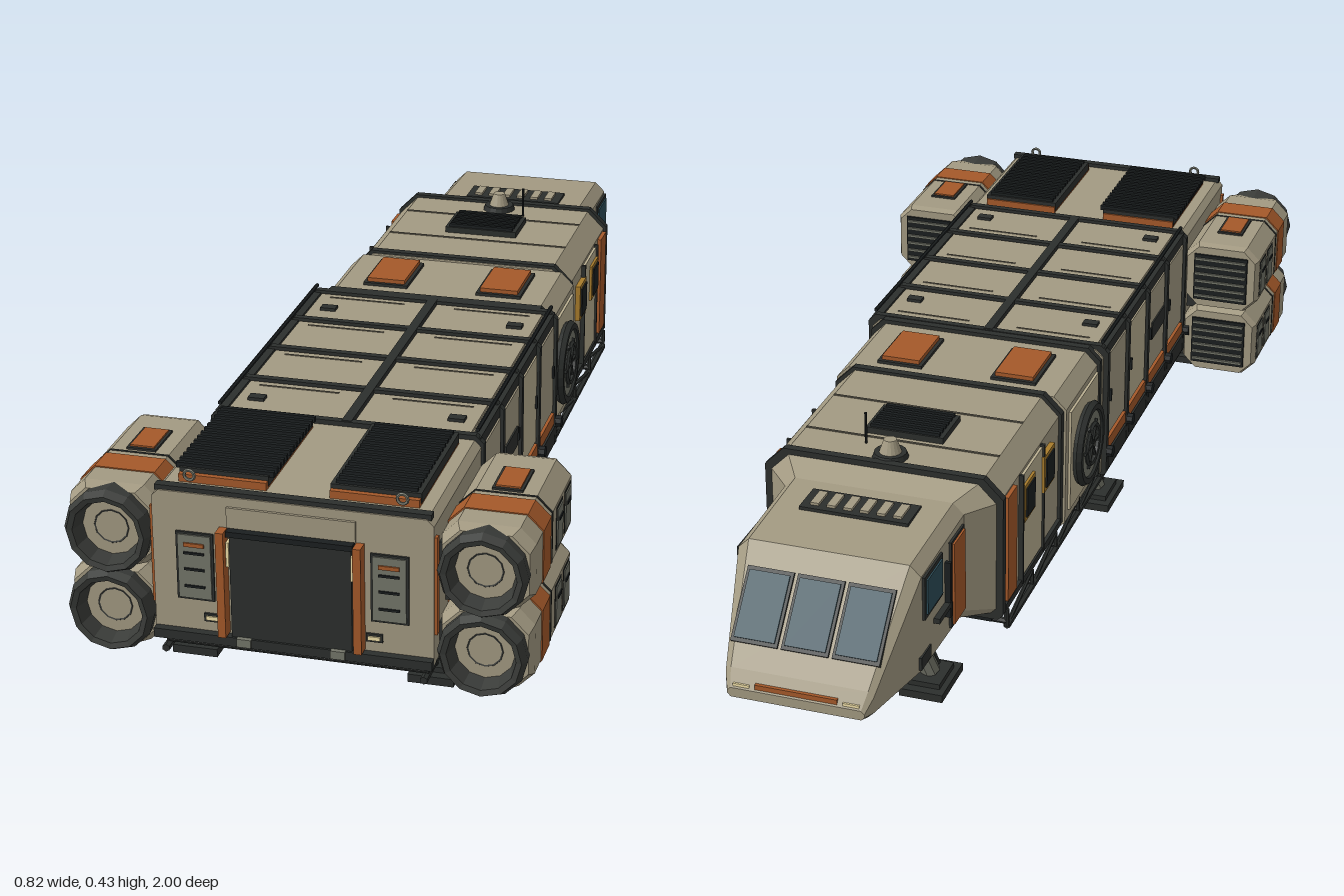
import * as THREE from 'three';

const mat = (color, side = THREE.FrontSide) => new THREE.MeshStandardMaterial({ color, side, flatShading: true });
const M = {
  hull: mat(0xa39a82), pale: mat(0xbbb092), dark: mat(0x2c2f2d), black: mat(0x1b1f20), orange: mat(0xa5592a),
  glass: mat(0x2d4d58), gold: mat(0xa87c2c), grey: mat(0x74766a), seam: mat(0x6f6a5b), lamp: mat(0xf0dfa8),
  nozzle: mat(0x393b38, THREE.DoubleSide),
};

export function createModel() {
  const root = new THREE.Group();
  root.name = 'modularTransport';
  const add = (name, geo, m, x = 0, y = 0, z = 0) => {
    const mesh = new THREE.Mesh(geo, M[m]);
    mesh.name = name;
    mesh.position.set(x, y, z);
    root.add(mesh);
    return mesh;
  };
  // box given by its ranges on each axis
  const box = (name, m, x0, x1, y0, y1, z0, z1) => add(name, new THREE.BoxGeometry(Math.abs(x1 - x0), y1 - y0, z1 - z0),
    m, (x0 + x1) / 2, (y0 + y1) / 2, (z0 + z1) / 2);
  const both = (fn) => [1, -1].forEach(fn);
  // plate on both side walls, standing off from x = w by t
  const side = (name, m, w, t, y0, y1, z0, z1) => both((s) => box(name, m, s * (w - 0.004), s * (w + t), y0, y1, z0, z1));
  const rod = (name, m, a, b, r, n = 6) => {
    const p = new THREE.Vector3(...a), q = new THREE.Vector3(...b), d = q.clone().sub(p);
    const mesh = add(name, new THREE.CylinderGeometry(r, r, d.length(), n), m);
    mesh.position.copy(p).add(q).multiplyScalar(0.5);
    mesh.quaternion.setFromUnitVectors(new THREE.Vector3(0, 1, 0), d.normalize());
    return mesh;
  };
  // chamfered hull lofted through stations [z, half width, y0, y1, top chamfer, bottom chamfer], z increasing
  const loft = (name, m, stations, cx = 0) => {
    const pos = [], idx = [], n = 8;
    stations.forEach(([z, w, y0, y1, t, b]) => [
      [w, y0 + b], [w, y1 - t], [w - t, y1], [t - w, y1], [-w, y1 - t], [-w, y0 + b], [b - w, y0], [w - b, y0],
    ].forEach(([x, y]) => pos.push(x + cx, y, z)));
    for (let k = 0; k < stations.length - 1; k++) for (let i = 0; i < n; i++) {
      const a = k * n + i, b = k * n + (i + 1) % n;
      idx.push(a, b, b + n, a, b + n, a + n);
    }
    const e = (stations.length - 1) * n;
    for (let i = 1; i < n - 1; i++) idx.push(0, i + 1, i, e, e + i, e + i + 1);
    const g = new THREE.BufferGeometry();
    g.setAttribute('position', new THREE.Float32BufferAttribute(pos, 3));
    g.setIndex(idx);
    const flat = g.toNonIndexed();
    flat.computeVertexNormals();
    return add(name, flat, m);
  };
  const prism = (name, m, w, y0, y1, z0, z1, t, b, cx = 0) => loft(name, m, [[z0, w, y0, y1, t, b], [z1, w, y0, y1, t, b]], cx);
  // slatted roof vent
  const vent = (name, base, slat, x0, x1, y, z0, z1, n) => {
    box(name, base, x0, x1, y - 0.01, y + 0.008, z0, z1);
    for (let i = 0; i < n; i++) {
      const z = z0 + (z1 - z0) * (i + 0.5) / n;
      box(name + 'Slat', slat, x0 + 0.008, x1 - 0.008, y + 0.004, y + 0.014, z - 0.004, z + 0.004);
    }
  };

  // main hull modules
  prism('engineBlock', 'hull', 0.245, 0.09, 0.362, 0.645, 0.975, 0.012, 0.005);
  prism('cargoBody', 'hull', 0.24, 0.09, 0.362, 0.03, 0.645, 0.015, 0.005);
  prism('airlockModule', 'hull', 0.232, 0.085, 0.362, -0.19, 0.03, 0.025, 0.01);
  prism('habitatModule', 'hull', 0.222, 0.09, 0.366, -0.56, -0.19, 0.035, 0.01);
  loft('cockpitHull', 'hull', [
    [-1, 0.125, 0.122, 0.14, 0.006, 0.006], [-0.98, 0.135, 0.118, 0.168, 0.01, 0.01],
    [-0.83, 0.168, 0.11, 0.335, 0.02, 0.02], [-0.61, 0.17, 0.105, 0.342, 0.02, 0.02], [-0.56, 0.218, 0.1, 0.362, 0.035, 0.01],
  ]);
  for (const z of [-0.555, -0.2]) prism('habitatFrame', 'dark', 0.228, 0.088, 0.372, z - 0.008, z + 0.008, 0.037, 0.01);
  prism('airlockFrame', 'dark', 0.238, 0.085, 0.37, 0.018, 0.034, 0.025, 0.01);

  // cargo bays: frames, spine, wall panels
  for (let i = 0; i < 5; i++) {
    const z = 0.042 + i * 0.15;
    prism('cargoFrame', 'dark', 0.25, 0.088, 0.371, z - 0.007, z + 0.007, 0.015, 0.005);
    both((s) => rod('frameLatch', 'black', [s * 0.25, 0.14, z], [s * 0.262, 0.14, z], 0.012, 8));
    if (i === 4) break;
    side('bayPanel', i === 2 ? 'hull' : i === 1 ? 'pale' : 'hull', 0.24, 0.006, 0.168, 0.345, z + 0.015, z + 0.135);
    side('bayStripe', 'orange', 0.24, 0.008, 0.136, 0.16, z + 0.01, z + 0.14);
    side('baySill', 'dark', 0.24, 0.01, 0.095, 0.132, z + 0.01, z + 0.14);
    side('panelHandle', 'black', 0.245, 0.005, 0.24, 0.265, z + 0.02, z + 0.026);
    both((s) => {
      box('roofPanel', 'hull', s * 0.012, s * 0.222, 0.355, 0.367, z + 0.013, z + 0.137);
      box('roofSeam', 'seam', s * 0.05, s * 0.2, 0.36, 0.3685, z + 0.028, z + 0.031);
      if (i % 3 === 0) box('roofLatch', 'dark', s * 0.17, s * 0.2, 0.36, 0.373, z + 0.08, z + 0.1);
    });
  }
  side('bayNameplate', 'dark', 0.244, 0.005, 0.235, 0.272, 0.375, 0.47);
  box('roofSpine', 'dark', -0.009, 0.009, 0.355, 0.372, 0.04, 0.645);
  both((s) => {
    box('roofEdge', 'dark', s * 0.226, s * 0.243, 0.345, 0.366, 0.035, 0.645);
    rod('roofRail', 'black', [s * 0.236, 0.378, 0.04], [s * 0.236, 0.378, 0.64], 0.004);
  });

  // airlock: round side hatches and roof hatches
  side('airlockPanel', 'pale', 0.232, 0.005, 0.115, 0.325, -0.172, 0.012);
  both((s) => {
    rod('hatchDisc', 'grey', [s * 0.23, 0.215, -0.078], [s * 0.25, 0.215, -0.078], 0.07, 24);
    add('hatchRing', new THREE.TorusGeometry(0.074, 0.011, 6, 28), 'dark', s * 0.245, 0.215, -0.078).rotation.y = Math.PI / 2;
    add('hatchWheel', new THREE.TorusGeometry(0.04, 0.005, 5, 20), 'dark', s * 0.253, 0.215, -0.078).rotation.y = Math.PI / 2;
    for (let k = 0; k < 3; k++) {
      const c = 0.05 * Math.cos(k * Math.PI / 3), d = 0.05 * Math.sin(k * Math.PI / 3);
      rod('hatchSpoke', 'dark', [s * 0.252, 0.215 - d, -0.078 - c], [s * 0.252, 0.215 + d, -0.078 + c], 0.004);
    }
    box('roofHatchRim', 'dark', s * 0.07, s * 0.16, 0.355, 0.368, -0.157, -0.023);
    box('roofHatch', 'orange', s * 0.077, s * 0.153, 0.355, 0.376, -0.15, -0.03);
  });

  // habitat: windows, doors and roof gear
  side('habitatDoor', 'pale', 0.222, 0.005, 0.115, 0.325, -0.445, -0.325);
  for (const z of [-0.295, -0.415]) {
    side('windowFrame', 'gold', 0.224, 0.008, 0.23, 0.305, z - 0.032, z + 0.032);
    side('habitatWindow', 'black', 0.224, 0.011, 0.238, 0.297, z - 0.024, z + 0.024);
  }
  for (const z of [-0.322, -0.45]) side('wallSeam', 'dark', 0.222, 0.009, 0.105, 0.33, z - 0.003, z + 0.003);
  side('habitatStripe', 'orange', 0.222, 0.008, 0.115, 0.328, -0.538, -0.486);
  side('habitatSill', 'dark', 0.222, 0.007, 0.098, 0.112, -0.545, -0.205);
  for (const z of [-0.32, -0.46]) box('roofSeam', 'seam', -0.187, 0.187, 0.36, 0.368, z - 0.002, z + 0.002);
  vent('habitatVent', 'dark', 'black', -0.075, 0.075, 0.37, -0.447, -0.35, 6);
  add('sensorBase', new THREE.CylinderGeometry(0.03, 0.034, 0.012, 16), 'dark', 0, 0.37, -0.52);
  add('sensorDome', new THREE.CylinderGeometry(0.012, 0.021, 0.026, 16), 'hull', 0, 0.388, -0.52);
  rod('antenna', 'black', [0.06, 0.36, -0.485], [0.06, 0.428, -0.485], 0.0025);

  // cockpit: windscreen on the slope, side windows and doors, nose lights
  const slope = new THREE.Group();
  slope.name = 'windscreen';
  slope.position.set(0, 0.25, -0.905);
  slope.rotation.x = -Math.atan2(0.167, 0.15);
  root.add(slope);
  for (const x of [-0.093, 0, 0.093]) {
    const frame = add('windscreenFrame', new THREE.BoxGeometry(0.086, 0.012, 0.134), 'dark', x);
    const pane = add('windscreenPane', new THREE.BoxGeometry(0.075, 0.018, 0.12), 'glass', x);
    slope.add(frame, pane);
  }
  side('cockpitDoorFrame', 'dark', 0.169, 0.005, 0.135, 0.308, -0.69, -0.618);
  side('cockpitDoor', 'orange', 0.169, 0.009, 0.14, 0.303, -0.684, -0.624);
  side('sideWindowFrame', 'dark', 0.167, 0.006, 0.228, 0.312, -0.826, -0.732);
  side('sideWindow', 'glass', 0.167, 0.009, 0.236, 0.304, -0.818, -0.74);
  side('sideVent', 'dark', 0.165, 0.006, 0.135, 0.16, -0.84, -0.79);
  side('sideStep', 'dark', 0.168, 0.012, 0.19, 0.2, -0.77, -0.71);
  side('grabRail', 'black', 0.168, 0.012, 0.17, 0.28, -0.712, -0.704);
  box('cockpitVent', 'dark', -0.102, 0.102, 0.33, 0.345, -0.712, -0.642);
  for (let i = 0; i < 6; i++) box('cockpitVentSlat', 'hull', i * 0.031 - 0.086, i * 0.031 - 0.07, 0.33, 0.35, -0.7, -0.654);
  box('nosePlate', 'orange', -0.075, 0.075, 0.128, 0.152, -0.998, -0.97);
  both((s) => box('headlight', 'lamp', s * 0.085, s * 0.115, 0.132, 0.148, -0.998, -0.97));

  // engine roof grilles
  both((s) => {
    box('grilleTray', 'orange', s * 0.055, s * 0.21, 0.355, 0.376, 0.668, 0.935);
    vent('engineGrille', 'dark', 'black', s * 0.054, s * 0.211, 0.376, 0.672, 0.925, 14);
    add('liftRing', new THREE.TorusGeometry(0.009, 0.003, 5, 12), 'grey', s * 0.185, 0.383, 0.95);
  });
  box('roofLip', 'dark', -0.24, 0.24, 0.36, 0.37, 0.955, 0.972);

  // cargo door face
  box('cargoDoor', 'dark', -0.106, 0.106, 0.105, 0.305, 0.96, 0.986);
  box('doorHeader', 'black', -0.11, 0.11, 0.297, 0.307, 0.965, 0.993);
  box('doorSill', 'dark', -0.245, 0.245, 0.09, 0.107, 0.96, 0.99);
  box('headerPanel', 'hull', -0.112, 0.112, 0.308, 0.345, 0.96, 0.98);
  both((s) => {
    box('doorStripe', 'orange', s * 0.112, s * 0.126, 0.11, 0.306, 0.96, 1);
    box('doorLamp', 'lamp', s * 0.106, s * 0.111, 0.24, 0.285, 0.97, 0.99);
    box('doorHinge', 'grey', s * 0.07, s * 0.095, 0.093, 0.108, 0.97, 0.995);
    box('accessFrame', 'dark', s * 0.137, s * 0.203, 0.165, 0.291, 0.96, 0.979);
    box('accessPanel', 'grey', s * 0.141, s * 0.199, 0.169, 0.287, 0.96, 0.982);
    box('accessStripe', 'orange', s * 0.152, s * 0.188, 0.266, 0.273, 0.96, 0.985);
    for (const y of [0.19, 0.222, 0.252]) box('accessSlot', 'black', s * 0.152, s * 0.188, y, y + 0.004, 0.96, 0.985);
    box('markerRim', 'dark', s * 0.128, s * 0.157, 0.126, 0.141, 0.96, 0.979);
    box('markerLamp', 'lamp', s * 0.132, s * 0.153, 0.13, 0.137, 0.96, 0.982);
  });

  // four engine pods
  const bell = [[0.07, -0.03], [0.076, 0.01], [0.078, 0.03], [0.07, 0.045], [0.06, 0.042], [0.052, 0.01], [0.03, 0], [0, 0]]
    .map(([r, y]) => new THREE.Vector2(r, y));
  both((s) => {
    const cx = s * 0.327;
    for (const y of [0.272, 0.123]) {
      const a = y - 0.073, b = y + 0.073;
      loft('enginePod', 'hull', [[0.64, 0.074, a + 0.005, b - 0.005, 0.025, 0.025], [0.655, 0.08, a, b, 0.027, 0.027],
        [0.93, 0.08, a, b, 0.027, 0.027], [0.953, 0.074, a + 0.006, b - 0.006, 0.03, 0.03]], cx);
      prism('podBand', 'orange', 0.082, a - 0.002, b + 0.002, 0.825, 0.882, 0.0275, 0.0275, cx);
      prism('podSeam', 'dark', 0.081, a - 0.001, b + 0.001, 0.806, 0.811, 0.027, 0.027, cx);
      add('nozzle', new THREE.LatheGeometry(bell, 12), 'nozzle', cx, y, 0.942).rotation.x = Math.PI / 2;
      rod('nozzleCore', 'black', [cx, y, 0.93], [cx, y, 0.948], 0.05, 12);
      add('nozzleRing', new THREE.TorusGeometry(0.03, 0.004, 5, 12), 'nozzle', cx, y, 0.95);
      box('intake', 'black', cx - 0.058, cx + 0.058, y - 0.052, y + 0.052, 0.635, 0.65);
      for (let i = 0; i < 6; i++) box('intakeSlat', 'grey', cx - 0.055, cx + 0.055, y - 0.045 + i * 0.017, y - 0.04 + i * 0.017, 0.63, 0.645);
      for (const z of [0.69, 0.755]) {
        box('podPanelRim', 'dark', cx, cx + s * 0.081, y - 0.04, y + 0.04, z - 0.027, z + 0.022);
        box('podPanel', 'grey', cx, cx + s * 0.083, y - 0.036, y + 0.036, z - 0.023, z + 0.018);
        box('podSlot', 'black', cx, cx + s * 0.085, y + 0.012, y + 0.018, z - 0.016, z + 0.011);
      }
      for (const z of [0.67, 0.92]) box('podMount', 'dark', s * 0.24, s * 0.262, y - 0.035, y + 0.035, z - 0.02, z + 0.02);
    }
    box('podHatchRim', 'dark', cx - 0.027, cx + 0.027, 0.34, 0.349, 0.712, 0.8);
    box('podHatch', 'orange', cx - 0.022, cx + 0.022, 0.34, 0.352, 0.718, 0.794);
    box('podSpacer', 'dark', s * 0.24, s * 0.37, 0.18, 0.215, 0.68, 0.9);
    box('podStripe', 'orange', s * 0.24, s * 0.25, 0.15, 0.33, 0.96, 0.972);
  });

  // underside: belly pan, rails, truss and tanks
  box('bellyRear', 'black', -0.225, 0.225, 0.08, 0.095, 0.03, 0.97);
  box('bellyMiddle', 'seam', -0.2, 0.2, 0.08, 0.095, -0.19, 0.03);
  box('bellyFore', 'black', -0.205, 0.205, 0.08, 0.095, -0.56, -0.19);
  for (let i = 0; i < 11; i++) {
    const z = -0.54 + i * 0.15;
    rod('crossBeam', 'dark', [-0.228, 0.075, z], [0.228, 0.075, z], 0.006);
    both((s) => {
      rod('railPost', 'dark', [s * 0.228, 0.065, z], [s * 0.228, 0.1, z], 0.005);
      if (i < 10) rod('trussBrace', 'dark', [s * 0.228, 0.065, z], [s * 0.228, 0.097, z + 0.15], 0.004);
    });
  }
  both((s) => {
    rod('lowerRail', 'dark', [s * 0.228, 0.065, -0.54], [s * 0.228, 0.065, 0.98], 0.007);
    for (const [z0, z1] of [[-0.08, 0.06], [0.22, 0.4], [0.44, 0.62]]) {
      rod('tank', 'gold', [s * 0.155, 0.073, z0], [s * 0.155, 0.073, z1], 0.018, 12);
      for (const z of [z0 + 0.03, z1 - 0.03]) rod('tankStrap', 'dark', [s * 0.155, 0.073, z - 0.006], [s * 0.155, 0.073, z + 0.006], 0.02, 12);
    }
    rod('bellyPipe', 'grey', [s * 0.1, 0.076, -0.5], [s * 0.1, 0.076, 0.95], 0.006);
  });

  // landing legs
  for (const [x, z] of [[0.213, 0.82], [0.213, 0.1], [0.127, -0.67]]) both((s) => {
    rod('legSocket', 'dark', [s * (x - 0.03), 0.075, z - 0.02], [s * (x - 0.03), 0.115, z - 0.02], 0.026, 8);
    rod('legStrut', 'grey', [s * x, 0.025, z], [s * (x - 0.025), 0.1, z - 0.015], 0.018, 8);
    rod('legPiston', 'dark', [s * x, 0.022, z + 0.03], [s * (x - 0.02), 0.09, z + 0.015], 0.008);
    box('foot', 'dark', s * (x - 0.041), s * (x + 0.041), 0, 0.015, z - 0.058, z + 0.058);
    box('footPlate', 'dark', s * (x - 0.03), s * (x + 0.03), 0.01, 0.025, z - 0.04, z + 0.04);
  });
  return root;
}
